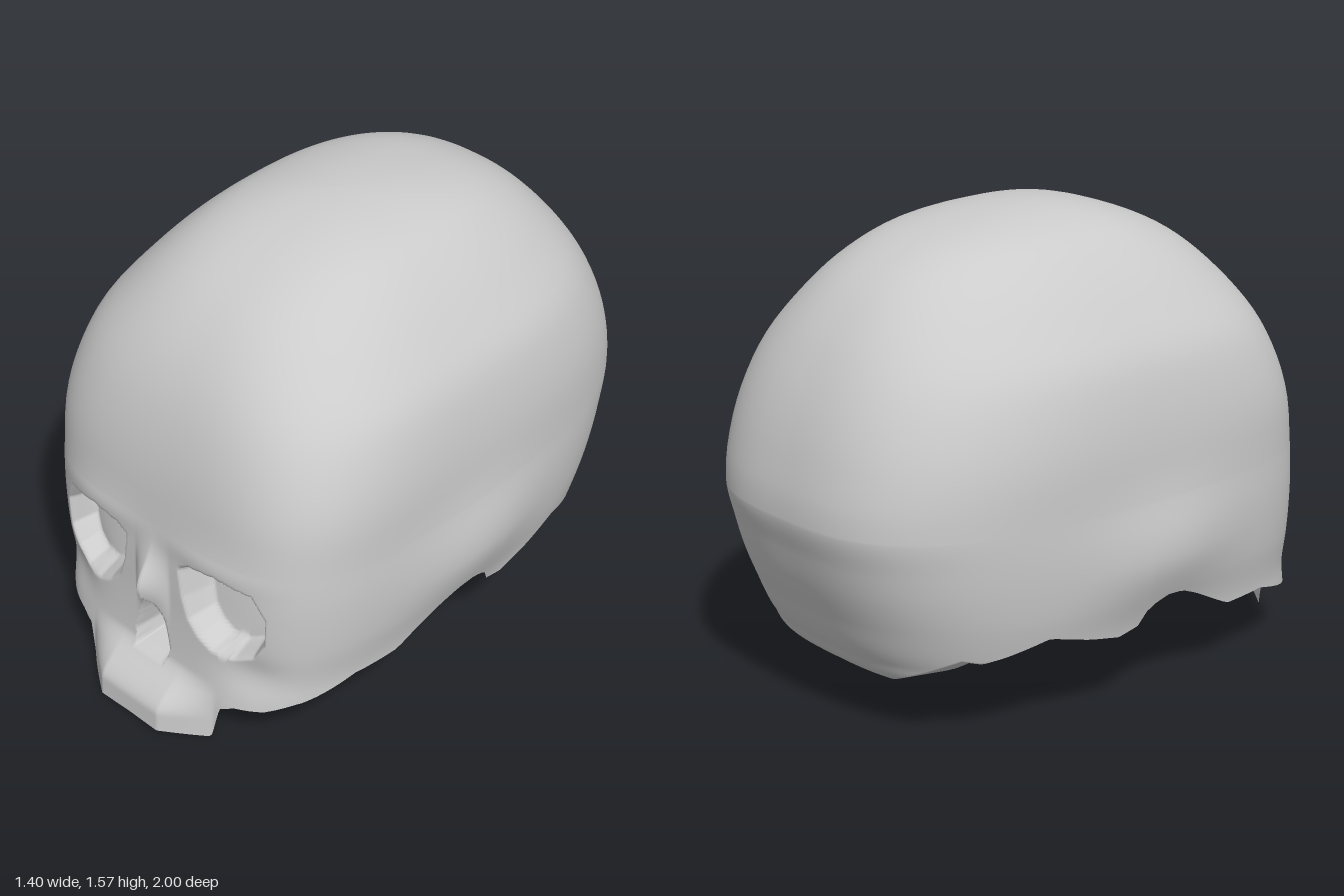
import * as THREE from 'three';

const TOP = 1.575;
const smooth = THREE.MathUtils.smoothstep;
const bell = (v, w) => Math.exp(-((v / w) ** 2));

// Horizontal levels: height, half width, reach to the front, reach to the back
const LEVELS = [
  [1.575, 0, 0, 0], [1.55, 0.2, 0.22, 0.28], [1.51, 0.31, 0.35, 0.46],
  [1.43, 0.41, 0.51, 0.63], [1.3, 0.52, 0.65, 0.77], [1.17, 0.605, 0.735, 0.86],
  [1.05, 0.64, 0.785, 0.92], [0.9, 0.66, 0.825, 0.97], [0.72, 0.66, 0.85, 1.0],
  [0.6, 0.66, 0.86, 0.97], [0.5, 0.655, 0.863, 0.94], [0.4, 0.645, 0.865, 0.9],
  [0.26, 0.62, 0.875, 0.835], [0.18, 0.615, 0.885, 0.765], [0.15, 0.61, 0.89, 0.67],
  [0, 0.61, 0.9, 0.6],
];
// Interpolating over the root of the depth below the crown keeps the dome round
const levelAt = new THREE.CubicInterpolant(
  LEVELS.map((l) => Math.sqrt(TOP - l[0])), LEVELS.flatMap((l) => l.slice(1)), 3);

// Height of the open lower edge: by x at the front and back, by z at the sides
const FRONT_RIM = [[0, 0.008], [0.28, 0], [0.31, 0.13], [0.36, 0.155], [0.45, 0.165], [0.52, 0.195]];
const BACK_RIM = [[0, 0.155], [0.25, 0.185], [0.4, 0.25], [0.49, 0.3]];
const SIDE_RIM = [[-0.67, 0.3], [-0.62, 0.285], [-0.55, 0.3], [-0.4, 0.34], [-0.25, 0.295],
  [-0.13, 0.27], [-0.05, 0.29], [-0.02, 0.35], [0.05, 0.38], [0.12, 0.375], [0.2, 0.34],
  [0.37, 0.25], [0.55, 0.25], [0.73, 0.195]];

function lookup(table, v) {
  if (v <= table[0][0]) return table[0][1];
  for (let i = 1; i < table.length; i++) {
    const [a, p] = table[i - 1], [b, q] = table[i];
    if (v <= b) return p + ((q - p) * (v - a)) / (b - a);
  }
  return table[table.length - 1][1];
}

// Cavities pressed into the face: convex outline, centre, depth, floor size, edge snap
const SOCKET = [[0.115, 0.61], [0.16, 0.64], [0.27, 0.657], [0.41, 0.638], [0.455, 0.55], [0.45, 0.44],
  [0.41, 0.37], [0.34, 0.335], [0.26, 0.337], [0.2, 0.37], [0.155, 0.42], [0.13, 0.5]];
const NOSE = [[0, 0.455], [0.025, 0.425], [0.055, 0.35], [0.08, 0.25], [0.068, 0.185],
  [-0.068, 0.185], [-0.08, 0.25], [-0.055, 0.35], [-0.025, 0.425]];
const CAVITIES = [
  { outline: SOCKET, cx: 0.29, cy: 0.5, depth: 0.11, floor: 0.75, snap: 0 },
  { outline: SOCKET.map(([x, y]) => [-x, y]), cx: -0.29, cy: 0.5, depth: 0.11, floor: 0.75, snap: 0 },
  { outline: NOSE, cx: 0, cy: 0.28, depth: 0.14, floor: 0.6, snap: 0.06 },
];

// 0 at the centre of an outline, 1 on its edge
function reach({ outline, cx, cy }, x, y) {
  let s = 0;
  outline.forEach(([ax, ay], i) => {
    const [bx, by] = outline[(i + 1) % outline.length];
    const nx = by - ay, ny = ax - bx;
    s = Math.max(s, (nx * (x - cx) + ny * (y - cy)) / (nx * (ax - cx) + ny * (ay - cy)));
  });
  return s;
}

// Jaw step, nose bridge, brow, cheeks, sockets and nose opening
function shapeFace(p) {
  const ax = Math.abs(p.x);
  p.z += 0.1 * (1 - smooth(p.y, 0.07, 0.22)) * (1 - THREE.MathUtils.clamp((ax - 0.13) / 0.15, 0, 1));
  p.z += 0.07 * Math.max(0, 1 - ax / 0.075) * bell(p.y - 0.49, 0.1);
  p.z += 0.01 * bell(p.y - 0.68, 0.05) * bell(ax - 0.25, 0.18);
  p.z -= 0.02 * bell(p.y - 0.3, 0.08) * bell(ax - 0.4, 0.1);
  for (const c of CAVITIES) {
    const s = reach(c, p.x, p.y);
    if (Math.abs(s - 1) < c.snap) {
      p.x = c.cx + (p.x - c.cx) / s;
      p.y = c.cy + (p.y - c.cy) / s;
    } else if (s < 1) {
      // Deeper under the brow than at the bottom
      const depth = c.depth * (1 + 1.3 * (p.y - c.cy));
      p.z -= depth * (1 - smooth(s, c.floor, 1));
    }
  }
}

// Horizontal outline: a rounded box, squarer across the face than at the back
function outlinePoint(dx, dz, y) {
  const n = (dz > 0 ? 4 : 2.9) - (dz > 0 ? 1.5 : 0.5) * smooth(y, 0.8, TOP);
  const r = (Math.abs(dx) ** n + Math.abs(dz) ** n) ** (-1 / n);
  return [dx * r, dz * r];
}

// Point of the shell at height y in the direction (dx, dz)
function shellPoint(dx, dz, y) {
  const [w, front, back] = levelAt.evaluate(Math.sqrt(Math.max(0, TOP - y)));
  const [ux, uz] = outlinePoint(dx, dz, y);
  const p = new THREE.Vector3(ux * w, y, uz * (dz > 0 ? front : back));
  // Widening at the cheekbones and temples
  p.x += Math.sign(dx) * 0.042 * smooth(Math.abs(ux), 0.8, 1)
    * bell(p.z - 0.04, 0.28) * bell(y - 0.52, y < 0.52 ? 0.15 : 0.2);
  if (dz > 0 && y < 0.9 && Math.abs(p.x) < 0.6) shapeFace(p);
  return p;
}

function rimHeight(dx, dz) {
  const [ux, uz] = outlinePoint(dx, dz, 0.25);
  if (Math.abs(dx) < Math.abs(dz)) return lookup(dz > 0 ? FRONT_RIM : BACK_RIM, Math.abs(ux) * 0.62);
  return lookup(SIDE_RIM, uz * (dz > 0 ? 0.875 : 0.85));
}

function shellGeometry() {
  // Directions once around, denser across the face
  const dirs = [];
  const run = (count, fn) => { for (let i = 0; i < count; i++) dirs.push(fn(-1 + (2 * i) / count)); };
  run(200, (t) => [t, 1]);
  run(64, (t) => [1, -t]);
  run(48, (t) => [-t, -1]);
  run(64, (t) => [-1, t]);

  const LOW = 84, HIGH = 32, SEAM = 0.72;
  const rows = LOW + HIGH + 2;
  const positions = [], index = [];
  dirs.forEach(([dx, dz], i) => {
    const rim = rimHeight(dx, dz);
    // Lip turned under the back of the head
    const lip = shellPoint(dx, dz, rim);
    if (lip.z < -0.62) {
      lip.y -= 0.15 * (-0.62 - lip.z);
      lip.z = -0.62;
    }
    positions.push(...lip.toArray());
    for (let j = 0; j <= LOW + HIGH; j++) {
      const y = j <= LOW
        ? rim + ((SEAM - rim) * j) / LOW
        : TOP - (TOP - SEAM) * (1 - (j - LOW) / HIGH) ** 2;
      positions.push(...shellPoint(dx, dz, y).toArray());
    }
    const a = i * rows, b = ((i + 1) % dirs.length) * rows;
    for (let j = 0; j < rows - 1; j++) {
      index.push(a + j, b + j, b + j + 1, a + j, b + j + 1, a + j + 1);
    }
  });
  const geometry = new THREE.BufferGeometry();
  geometry.setAttribute('position', new THREE.Float32BufferAttribute(positions, 3));
  geometry.setIndex(index);
  geometry.computeVertexNormals();
  return geometry;
}

export function createModel() {
  const group = new THREE.Group();
  group.name = 'skull';
  const material = new THREE.MeshStandardMaterial({ color: 0xcccccc, side: THREE.DoubleSide });
  const shell = new THREE.Mesh(shellGeometry(), material);
  shell.name = 'craniumAndFace';
  group.add(shell);
  return group;
}
